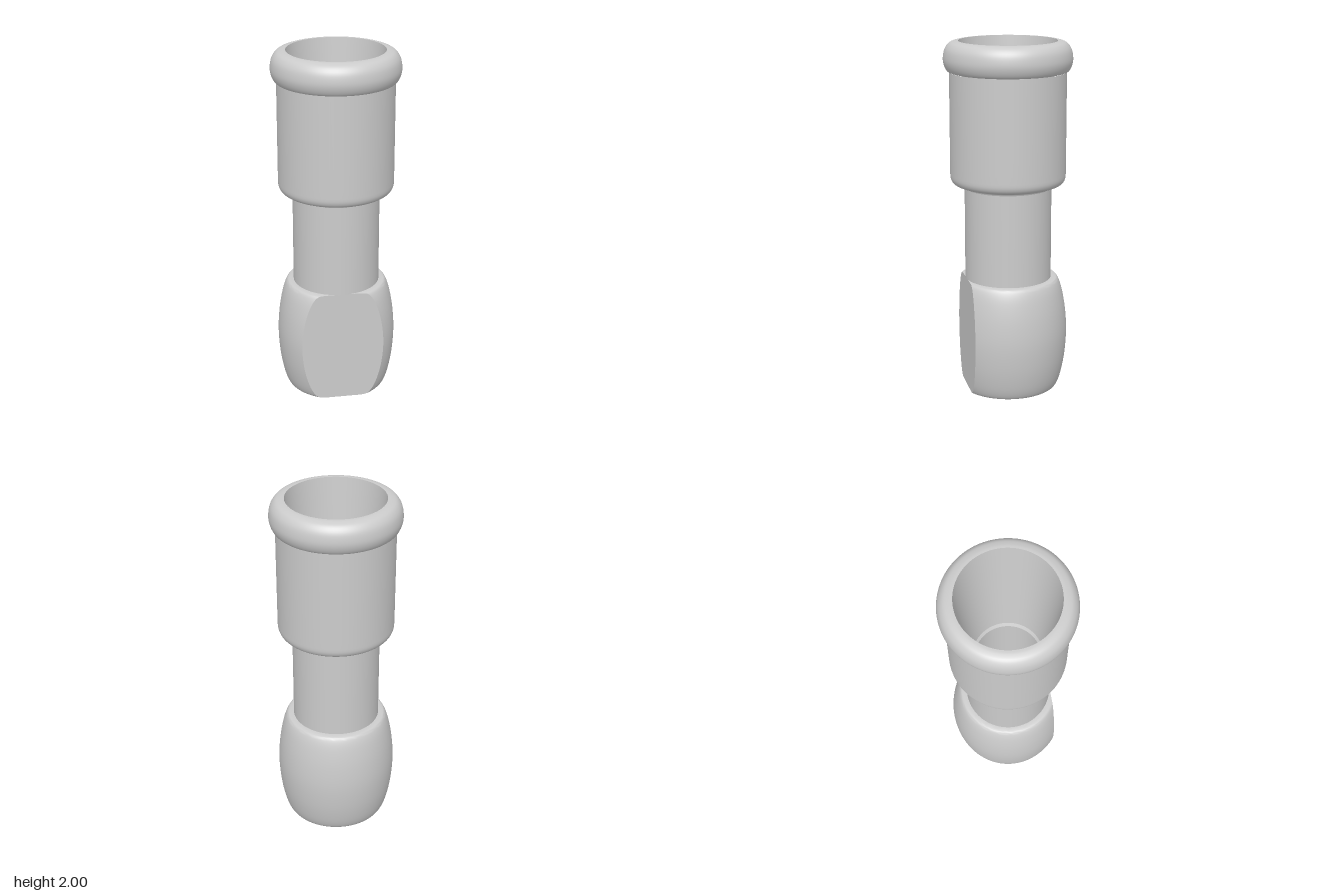
import * as THREE from 'three';
import { toCreasedNormals } from 'three/addons/utils/BufferGeometryUtils.js';

const SEGMENTS = 96;
const FLAT_Z = 0.243; // front plane that trims the foot

const toPoints = (list) => list.map(([r, y]) => new THREE.Vector2(r, y));
const smooth = (list, n = 24) => new THREE.SplineCurve(toPoints(list)).getPoints(n);

// Re-spaces each ring so that it has a clean straight front edge at FLAT_Z.
function flattenFront(geometry) {
  const pos = geometry.attributes.position;
  const share = Math.PI / 4;
  const rings = pos.count / (SEGMENTS + 1);
  for (let i = 0; i < pos.count; i++) {
    let phi = (Math.floor(i / rings) / SEGMENTS) * Math.PI * 2;
    if (phi > Math.PI) phi -= Math.PI * 2;
    const r = Math.hypot(pos.getX(i), pos.getZ(i));
    const a = r > FLAT_Z ? Math.acos(FLAT_Z / r) : 0;
    const t = Math.abs(phi);
    if (t <= share) {
      pos.setX(i, (r * Math.sin(a) * phi) / share);
      pos.setZ(i, Math.min(r, FLAT_Z));
    } else {
      const angle = a + ((t - share) / (Math.PI - share)) * (Math.PI - a);
      pos.setX(i, r * Math.sin(angle) * Math.sign(phi));
      pos.setZ(i, r * Math.cos(angle));
    }
  }
  return geometry;
}

export function createModel() {
  const group = new THREE.Group();
  const material = new THREE.MeshStandardMaterial({ color: 0xcccccc });

  const add = (name, geometry) => {
    const mesh = new THREE.Mesh(geometry, material);
    mesh.name = name;
    group.add(mesh);
  };
  const turn = (points) => new THREE.LatheGeometry(points, SEGMENTS);

  // Barrel-shaped foot with flared lower mouth and flat front
  const footProfile = [
    ...smooth([[0.185, 0.14], [0.195, 0.08], [0.215, 0.035], [FLAT_Z, 0.01]], 10),
    ...smooth([
      [0.264, 0], [0.285, 0.012], [0.308, 0.075], [0.329, 0.19], [0.338, 0.33],
      [0.329, 0.465], [0.308, 0.58], [0.285, 0.643], [0.264, 0.655],
    ], 40),
    new THREE.Vector2(FLAT_Z, 0.655),
  ];
  add('foot', toCreasedNormals(flattenFront(turn(footProfile)), 0.6));

  // Narrow neck
  add('neck', turn(toPoints([[0.245, 0.65], [0.245, 1.185]])));

  // Wide sleeve with rounded lower shoulder
  add('sleeve', turn([
    ...smooth([[0.245, 1.18], [0.25, 1.19], [0.265, 1.196], [0.29, 1.2], [0.312, 1.212], [0.323, 1.235], [0.325, 1.26]], 20),
    ...toPoints([[0.325, 1.3], [0.325, 1.83]]),
  ]));

  // Rolled rim
  add('rim', turn(smooth([
    [0.32, 1.83], [0.338, 1.838], [0.353, 1.868], [0.358, 1.905],
    [0.349, 1.953], [0.325, 1.986], [0.295, 1.998], [0.273, 2],
  ], 28)));

  // Tapered socket, small step and straight bore
  add('socket', turn(toPoints([[0.273, 2], [0.197, 1.2]])));
  add('step', turn(toPoints([[0.197, 1.2], [0.185, 1.18]])));
  add('bore', turn(toPoints([[0.185, 1.18], [0.185, 0.14]])));

  return group;
}
